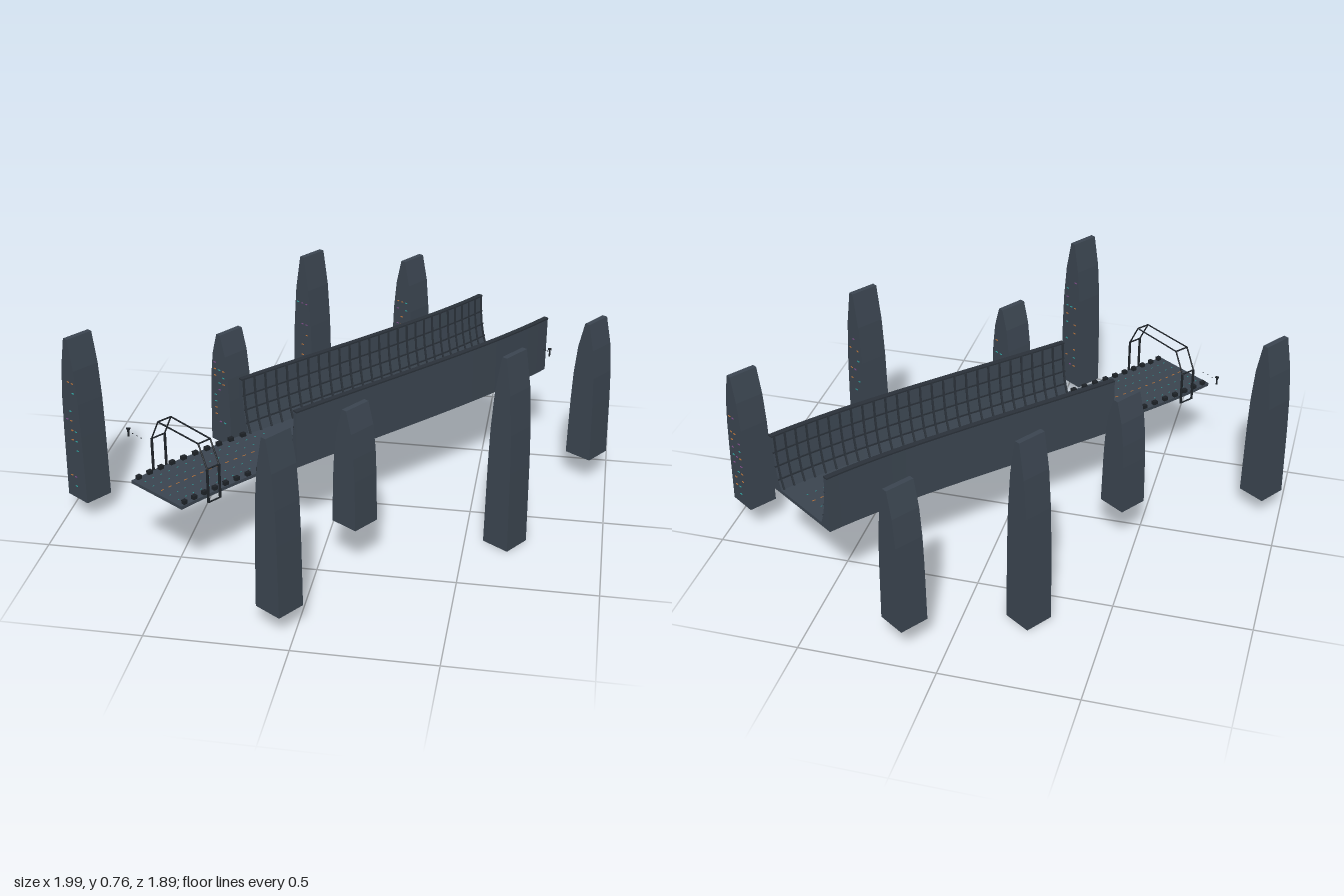
import * as THREE from 'three';
import { mergeGeometries } from 'three/addons/utils/BufferGeometryUtils.js';

const material = (color) => new THREE.MeshStandardMaterial({ color, flatShading: true });
const steel = material(0x3a444f), dark = material(0x2a3139), black = material(0x1d2227);
const glow = [material(0x2f9c9a), material(0xb5713a), material(0x7d4a86)];

// Road centre line (x, z), gently S-shaped
const road = new THREE.CubicBezierCurve(
  new THREE.Vector2(-0.54, 0.625), new THREE.Vector2(-0.26, 0.21),
  new THREE.Vector2(0.305, -0.27), new THREE.Vector2(0.585, -0.68));
const WALL_START = 0.3;

// Point on the road: t along it, u across it, h above its rising base
function place(t, u, h) {
  const p = road.getPoint(t), d = road.getTangent(t);
  return new THREE.Vector3(p.x - d.y * u, 0.32 + 0.028 * t + h, p.y + d.x * u);
}

// Sweep a closed counter-clockwise section of [u, h] points along the road
function sweep(section, t0, t1, steps = 1) {
  const pos = [], n = section.length;
  const add = (...points) => points.forEach((p) => pos.push(p.x, p.y, p.z));
  const ring = (t) => section.map(([u, h]) => place(t, u, h));
  const rings = Array.from({ length: steps + 1 }, (_, i) => ring(t0 + (t1 - t0) * i / steps));
  for (let s = 0; s < steps; s++) {
    for (let i = 0; i < n; i++) {
      const j = (i + 1) % n, a = rings[s][i], b = rings[s][j], c = rings[s + 1][j], d = rings[s + 1][i];
      add(a, c, b, a, d, c);
    }
  }
  const caps = THREE.ShapeUtils.triangulateShape(section.map(([u, h]) => new THREE.Vector2(u, h)), []);
  for (const [a, b, c] of caps) {
    add(rings[0][a], rings[0][b], rings[0][c]);
    add(rings[steps][a], rings[steps][c], rings[steps][b]);
  }
  const geo = new THREE.BufferGeometry();
  geo.setAttribute('position', new THREE.Float32BufferAttribute(pos, 3));
  geo.computeVertexNormals();
  return geo;
}
const rect = (u0, u1, h0, h1) => [[u0, h0], [u1, h0], [u1, h1], [u0, h1]];
const mirrored = (section, side) => side > 0 ? section : section.map(([u, h]) => [-u, h]).reverse();

function addMesh(parent, name, geometry, mat) {
  const mesh = new THREE.Mesh(Array.isArray(geometry) ? mergeGeometries(geometry) : geometry, mat);
  mesh.name = name;
  parent.add(mesh);
  return mesh;
}

// Thin round bar between two points
function bar(a, b, radius) {
  const dir = b.clone().sub(a);
  const geo = new THREE.CylinderGeometry(radius, radius, dir.length(), 6);
  geo.applyQuaternion(new THREE.Quaternion().setFromUnitVectors(new THREE.Vector3(0, 1, 0), dir.clone().normalize()));
  const mid = a.clone().add(b).multiplyScalar(0.5);
  return geo.translate(mid.x, mid.y, mid.z);
}

function seeded(seed) {
  return () => (seed = (seed * 16807) % 2147483647) / 2147483647;
}

function createRoad() {
  const group = new THREE.Group();
  group.name = 'road';
  addMesh(group, 'deck', sweep(rect(-0.133, 0.133, 0, 0.012), 0, 1, 24), steel);
  addMesh(group, 'wallFloor', sweep(rect(-0.174, 0.174, -0.002, 0.01), WALL_START, 1, 16), steel);

  // Lane dashes: warm centre line, cool side lanes
  const centre = [], lanes = [];
  for (let i = 0; i < 44; i++) {
    const t = 0.015 + i * 0.022;
    centre.push(sweep(rect(-0.0015, 0.0015, 0.012, 0.0135), t, t + 0.008));
    for (const u of [-0.09, -0.045, 0.045, 0.09]) {
      if (i < 15 || Math.abs(u) < 0.05) lanes.push(sweep(rect(u - 0.001, u + 0.001, 0.012, 0.0135), t, t + 0.004));
    }
  }
  addMesh(group, 'centreDashes', centre, glow[1]);
  addMesh(group, 'laneDashes', lanes, glow[0]);

  // Curb blocks beside the open stretch
  const blocks = [];
  for (const side of [-1, 1]) {
    for (let t = 0.01; t < WALL_START - 0.01; t += 0.03) {
      blocks.push(sweep(mirrored(rect(0.116, 0.131, 0.012, 0.026), side), t, t + 0.011));
    }
  }
  addMesh(group, 'curbBlocks', blocks, black);
  return group;
}

function createWalls() {
  const group = new THREE.Group();
  group.name = 'walls';
  // Inner face curves up like a quarter pipe
  const inner = [[0.124, 0.012], [0.139, 0.05], [0.15, 0.1], [0.157, 0.155], [0.16, 0.218]];
  const body = [[0.124, 0], [0.175, 0], [0.175, 0.218], ...inner.slice().reverse()];
  const rib = [...inner, ...inner.map(([u, h]) => [u - 0.005, h]).reverse()];
  for (const side of [-1, 1]) {
    addMesh(group, 'wall', sweep(mirrored(body, side), WALL_START, 1, 20), steel);
    const rail = mirrored(rect(0.157, 0.177, 0.217, 0.223), side);
    addMesh(group, 'topRail', sweep(rail, WALL_START, 1, 20), dark);
    const ribs = [];
    for (let i = 0; i <= 26; i++) {
      const t = WALL_START + 0.002 + i * 0.0265;
      ribs.push(sweep(mirrored(rib, side), t, t + 0.004));
    }
    for (const [u, h] of inner.slice(1, 4)) {
      ribs.push(sweep(mirrored(rect(u - 0.003, u + 0.004, h - 0.003, h + 0.003), side), WALL_START, 1, 20));
    }
    addMesh(group, 'wallRibs', ribs, dark);
  }
  return group;
}

function createGate() {
  const group = new THREE.Group();
  group.name = 'gate';
  const outline = [[-0.155, -0.005], [-0.155, 0.125], [-0.112, 0.207], [0.112, 0.207], [0.155, 0.125], [0.155, -0.005]];
  const arches = [0.07, 0.104].map((t) => outline.map(([u, h]) => place(t, u, h)));
  const bars = [];
  for (const arch of arches) {
    for (let i = 0; i < 5; i++) bars.push(bar(arch[i], arch[i + 1], i % 4 === 0 ? 0.005 : 0.003));
  }
  for (let i = 0; i < 6; i++) bars.push(bar(arches[0][i], arches[1][i], 0.003));
  addMesh(group, 'gateFrame', bars, black);
  return group;
}

// Tower: leaf-shaped profile with a flat ridge, lit windows on one face
function createTower([x, z, bottom, top, turn], index) {
  const group = new THREE.Group();
  group.name = 'tower';
  const H = top - bottom, depth = 0.112;
  const profile = [[0.056, 0], [0.051, 0.42], [0.046, 0.62], [0.034, 0.82], [0.01, 1]];
  const shape = new THREE.Shape([
    ...profile.map(([w, f]) => new THREE.Vector2(w, f * H)),
    ...profile.slice().reverse().map(([w, f]) => new THREE.Vector2(-w, f * H))]);
  const geo = new THREE.ExtrudeGeometry(shape, { depth, bevelEnabled: false }).translate(0, 0, -depth / 2);
  addMesh(group, 'towerBody', geo, steel);

  const random = seeded(101 + index * 37), windows = [[], [], []];
  for (let row = 0; row < 12; row++) {
    for (let col = -1; col <= 1; col++) {
      if (random() < 0.5) continue;
      const y = H * (0.08 + row * 0.06);
      const pane = new THREE.BoxGeometry(0.011, 0.003, 0.004).translate(col * 0.023, y, depth / 2 + 0.001);
      windows[Math.floor(random() * 3)].push(pane);
    }
  }
  windows.forEach((list, i) => list.length && addMesh(group, 'windows', list, glow[i]));
  group.position.set(x, bottom, z);
  group.rotation.y = -0.595 + turn;
  return group;
}

// Small hovering beacon with a trail of specks
function createBeacon(x, y, z, dx, dz) {
  const group = new THREE.Group();
  group.name = 'beacon';
  addMesh(group, 'beaconMast', new THREE.BoxGeometry(0.006, 0.03, 0.006), black);
  addMesh(group, 'beaconHead', new THREE.BoxGeometry(0.014, 0.005, 0.008).translate(0, 0.015, 0), black);
  for (let i = 1; i <= 3; i++) {
    addMesh(group, 'speck', new THREE.BoxGeometry(0.005, 0.002, 0.002), black).position.set(dx * i, 0.004, dz * i);
  }
  group.position.set(x, y, z);
  return group;
}

export function createModel() {
  const model = new THREE.Group();
  model.name = 'walledRoadWithTowers';
  model.add(createRoad(), createWalls(), createGate());
  // x, z, bottom, top, turn
  const towers = [
    [0.15, -0.877, 0.11, 0.67, 0], [-0.225, -0.63, 0, 0.76, 0],
    [-0.445, -0.105, 0.18, 0.635, 0], [-0.92, 0.24, 0.08, 0.735, 0],
    [0.917, -0.358, 0.11, 0.67, Math.PI], [0.645, 0.187, 0, 0.76, Math.PI],
    [0.125, 0.433, 0.18, 0.635, Math.PI], [-0.06, 0.862, 0.08, 0.735, Math.PI]];
  towers.forEach((tower, i) => model.add(createTower(tower, i)));
  model.add(createBeacon(-0.7, 0.44, 0.4, 0.02, 0.014), createBeacon(0.748, 0.472, -0.468, -0.008, -0.006));
  return model;
}
